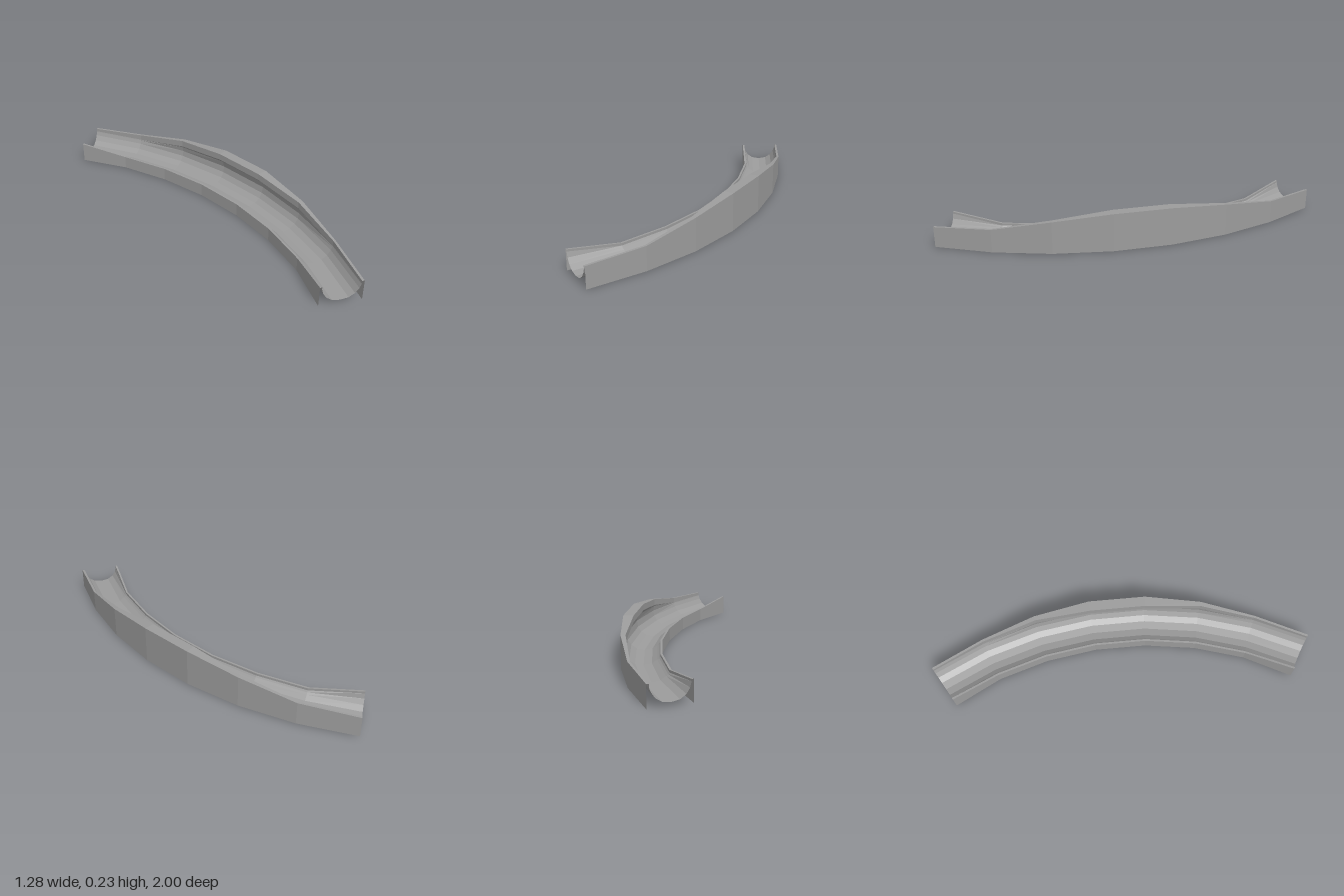
import * as THREE from 'three';

const STEPS = 7, ARC = Math.PI / 3;
const CX = -1.675, CZ = 1;           // centre of the bend
const R_OUT = 2.312;

// Outer half of the trough [radius, height], from lip to floor, by bank stage
const outerStages = [
  [[2.298, .11], [2.298, .106], [2.296, .1], [2.288, .08], [2.267, .05], [2.234, .028], [2.187, .02]],
  [[2.284, .155], [2.288, .146], [2.294, .115], [2.288, .08], [2.267, .05], [2.234, .028], [2.187, .02]],
  [[2.25, .19], [2.282, .16], [2.294, .12], [2.288, .08], [2.267, .05], [2.234, .028], [2.187, .02]],
];
// Inner half, from floor to edge: tall at the ends, low along the bend
const innerTall = [[2.14, .028], [2.107, .05], [2.088, .08], [2.08, .11]];
const innerLow = [[2.14, .028], [2.11, .048], [2.099, .057], [2.092, .066]];

// Per station: bank stage and outer wall height
const stage = [0, 0, 1, 2, 2, 1, 0, 0];
const outerTop = [.125, .14, .195, .23, .23, .195, .14, .125];

const isEnd = s => s === 0 || s === STEPS;
const outerHalf = s => outerStages[stage[s]];
const innerHalf = s => (isEnd(s) ? innerTall : innerLow);
const innerTop = s => (isEnd(s) ? .122 : .08);
const innerRadius = s => (isEnd(s) ? 2.068 : 2.08);

// Sweeps a station-dependent profile around the bend
function sweep(name, profileAt) {
  const pos = [], idx = [];
  const n = profileAt(0).length;
  for (let s = 0; s <= STEPS; s++) {
    const a = ARC * s / STEPS;
    for (const [r, y] of profileAt(s)) pos.push(CX + r * Math.cos(a), y, CZ - r * Math.sin(a));
  }
  for (let s = 0; s < STEPS; s++) {
    for (let i = 0; i < n - 1; i++) {
      const a = s * n + i, b = a + n;
      idx.push(a, b, b + 1, a, b + 1, a + 1);
    }
  }
  const geo = new THREE.BufferGeometry();
  geo.setAttribute('position', new THREE.Float32BufferAttribute(pos, 3));
  geo.setIndex(idx);
  geo.computeVertexNormals();
  const mesh = new THREE.Mesh(geo, new THREE.MeshStandardMaterial({
    color: 0x9c9c9c, flatShading: true, side: THREE.DoubleSide,
  }));
  mesh.name = name;
  return mesh;
}

export function createModel() {
  const group = new THREE.Group();
  group.name = 'curvedTrack';
  group.add(
    sweep('outerWall', s => [[R_OUT, 0], [R_OUT, outerTop[s]]]),
    // Level top with an upright face down to the trough lip
    sweep('outerRim', s => {
      const lip = outerHalf(s)[0];
      return [[R_OUT, outerTop[s]], [lip[0], outerTop[s]], lip];
    }),
    sweep('trough', s => [...outerHalf(s), ...innerHalf(s)]),
    sweep('innerRim', s => {
      const edge = innerHalf(s)[3];
      return [edge, [edge[0], innerTop(s)], [innerRadius(s), innerTop(s)]];
    }),
    sweep('innerWall', s => [[innerRadius(s), innerTop(s)], [innerRadius(s), 0]]),
  );
  return group;
}
